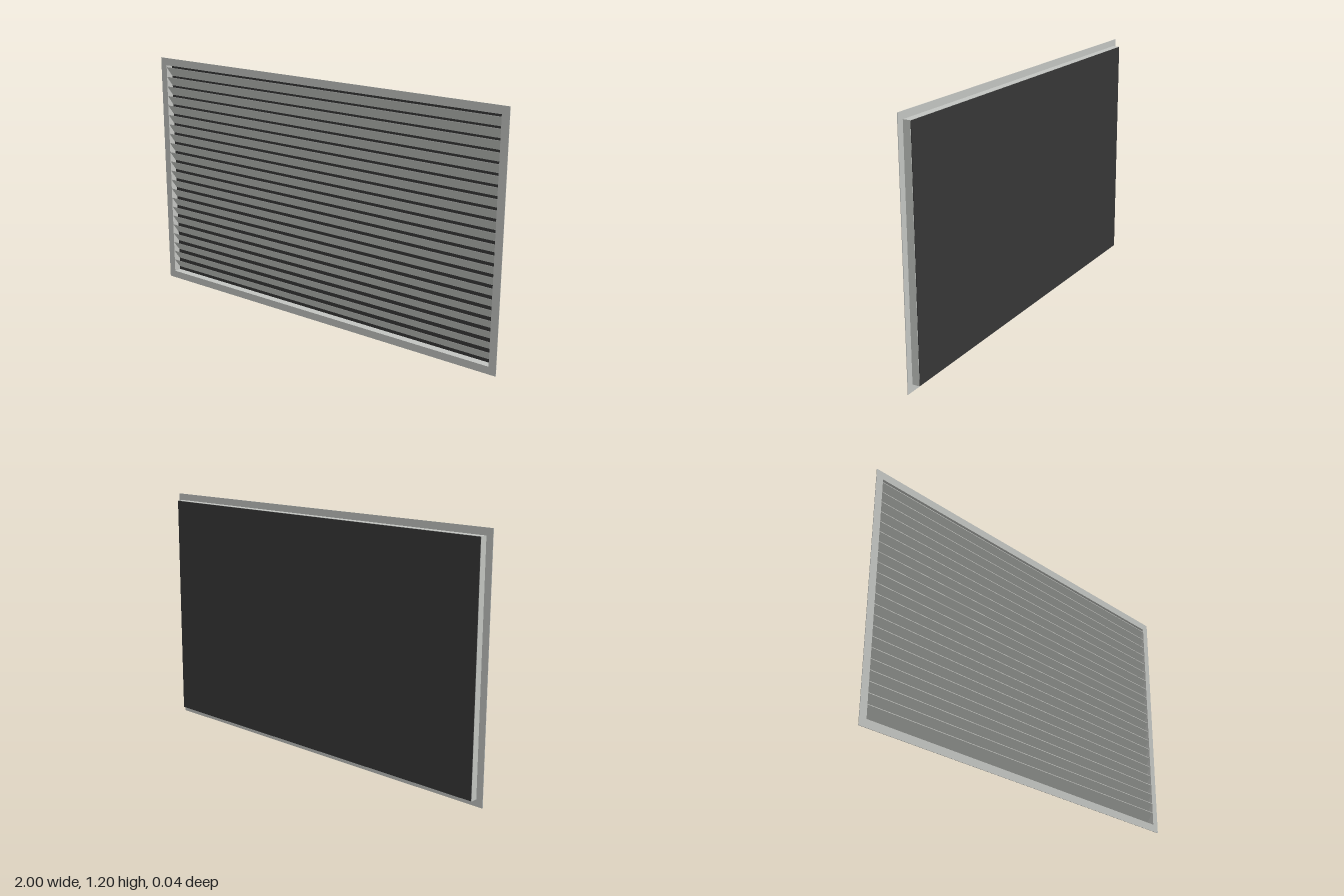
import * as THREE from 'three';

const W = 2, H = 1.2;             // outer flange
const DW = 1.934, DH = 1.134;     // duct outside
const WALL = 0.004;

// Rectangular ring standing in the xy plane, from z0 to z1
function ring(w, h, iw, ih, z0, z1) {
  const rect = (C, a, b) => {
    const s = new C();
    s.moveTo(-a / 2, -b / 2);
    s.lineTo(a / 2, -b / 2);
    s.lineTo(a / 2, b / 2);
    s.lineTo(-a / 2, b / 2);
    s.closePath();
    return s;
  };
  const shape = rect(THREE.Shape, w, h);
  shape.holes.push(rect(THREE.Path, iw, ih));
  const g = new THREE.ExtrudeGeometry(shape, { depth: z1 - z0, bevelEnabled: false });
  return g.translate(0, H / 2, z0);
}

export function createModel() {
  const metal = new THREE.MeshStandardMaterial({ color: 0xc2c4c0 });
  metal.name = 'light grey metal';
  const dark = new THREE.MeshStandardMaterial({ color: 0x363636 });
  dark.name = 'dark backing';

  const model = new THREE.Group();
  model.name = 'louverGrille';
  const add = (name, geometry, material, parent = model) => {
    const mesh = new THREE.Mesh(geometry, material);
    mesh.name = name;
    parent.add(mesh);
    return mesh;
  };

  // Thin face flange and the duct collar behind it
  const iw = DW - 2 * WALL, ih = DH - 2 * WALL;
  add('flange', ring(W, H, iw, ih, 0.0175, 0.02), metal);
  add('collar', ring(DW, DH, iw, ih, -0.0175, 0.0175), metal);

  // Dark plate closing the back
  add('backPlate', new THREE.BoxGeometry(DW - 0.003, DH - 0.003, 0.0025), dark)
    .position.set(0, H / 2, -0.01875);

  // Slats: front edge high, back edge low, visible face turned down and forward
  const slats = new THREE.Group();
  slats.name = 'slats';
  model.add(slats);
  const zf = 0.0175, zb = -0.0165, half = 0.0245, t = 0.003;
  const profile = new THREE.Shape();
  profile.moveTo(zb, -half);
  profile.lineTo(zf, half - t);
  profile.lineTo(zf, half);
  profile.lineTo(zb, -half + t);
  profile.closePath();
  const slat = new THREE.ExtrudeGeometry(profile, { depth: iw, bevelEnabled: false });
  slat.translate(0, 0, -iw / 2).rotateY(-Math.PI / 2); // profile x -> z
  const count = 22, pitch = 0.05;
  for (let i = 0; i < count; i++) {
    add('slat', slat, metal, slats).position.y = H / 2 + 0.003 + (i - (count - 1) / 2) * pitch;
  }
  return model;
}
